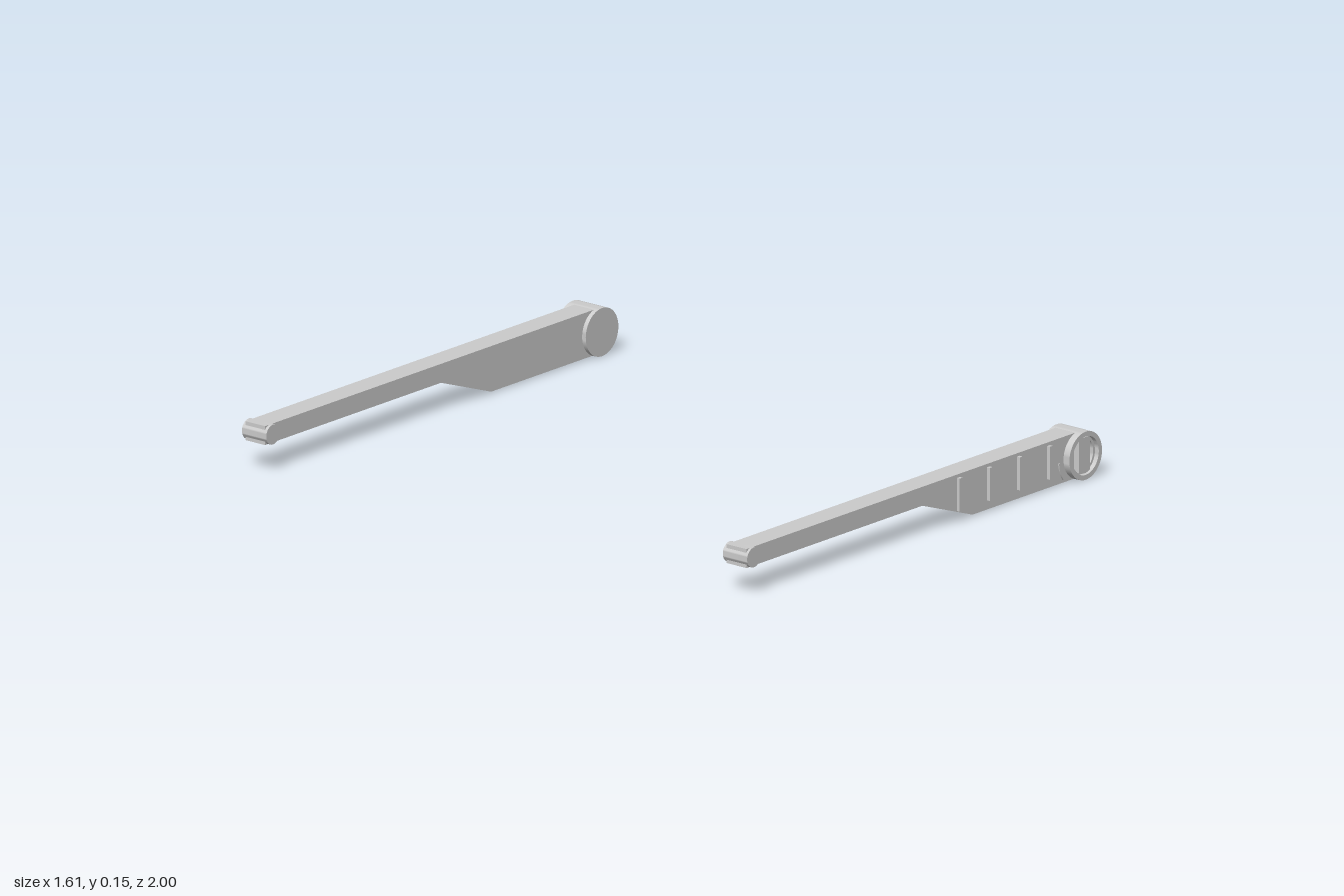
import * as THREE from 'three';
import { toCreasedNormals } from 'three/addons/utils/BufferGeometryUtils.js';

const material = new THREE.MeshStandardMaterial({ color: 0xcccccc });
const HUB = { x: 0.728, y: 0.077, r: 0.075 };

function addMesh(parent, name, geometry) {
  const mesh = new THREE.Mesh(geometry, material);
  mesh.name = name;
  parent.add(mesh);
  return mesh;
}

// Extrude a shape between two distances from the middle, on side s (+1 front, -1 back)
function addSlab(parent, name, shape, near, far, s) {
  const geometry = new THREE.ExtrudeGeometry(shape, { depth: far - near, bevelEnabled: false, curveSegments: 24 });
  const mesh = addMesh(parent, name, toCreasedNormals(geometry, 0.6));
  mesh.position.z = Math.min(s * near, s * far);
  return mesh;
}

// Turn a profile of [radius, distance] about an axis along z
function addTurned(parent, name, profile, x, y, s) {
  const points = profile.map(([r, d]) => new THREE.Vector2(r, d));
  const mesh = addMesh(parent, name, toCreasedNormals(new THREE.LatheGeometry(points, 48), 0.6));
  mesh.rotation.x = s * Math.PI / 2;
  mesh.position.set(x, y, 0);
  return mesh;
}

function bladeShape() {
  const corners = [[-0.803, 0.09], [0.005, 0.09], [0.235, 0.007], [0.715, 0.007], [0.715, 0.149], [-0.803, 0.149]];
  return new THREE.Shape(corners.map(([x, y]) => new THREE.Vector2(x, y)));
}

// Upright grip with rounded ends that follow the dial's rim
function gripShape() {
  const r = 0.056, a = Math.acos(0.026 / r);
  const shape = new THREE.Shape();
  shape.absarc(0, 0, r, a, Math.PI - a, false);
  shape.absarc(0, 0, r, Math.PI + a, 2 * Math.PI - a, false);
  shape.closePath();
  return shape;
}

// Short curved ridge beside the hub
function ridgeShape() {
  const shape = new THREE.Shape();
  const from = Math.PI * 1.02, to = Math.PI * 1.21;
  shape.absarc(0, 0, 0.1, from, to, false);
  shape.absarc(0, 0, 0.096, to, from, true);
  shape.closePath();
  return shape;
}

function createArm(name, s) {
  const arm = new THREE.Group();
  arm.name = name;

  // Long arm, deeper towards the hub
  addSlab(arm, 'armBody', bladeShape(), 0.9, 0.977, s);

  // Pivot barrel at the thin end
  addTurned(arm, 'endPivot',
    [[0, 0.89], [0.031, 0.89], [0.031, 0.985], [0, 0.985]], -0.778, 0.119, s);

  // Hub with a stepped recess on the outer side
  addTurned(arm, 'hub', [
    [0, 0.886], [HUB.r, 0.886], [HUB.r, 1], [0.06, 1], [0.06, 0.985],
    [0.052, 0.985], [0.052, 0.972], [0, 0.972],
  ], HUB.x, HUB.y, s);
  addSlab(arm, 'hubGrip', gripShape(), 0.97, 0.995, s).position.add(new THREE.Vector3(HUB.x, HUB.y, 0));
  addSlab(arm, 'hubRidge', ridgeShape(), 0.975, 0.981, s).position.add(new THREE.Vector3(HUB.x, HUB.y, 0));

  // Row of upright ribs on the outer side
  for (let i = 0; i < 4; i++) {
    const rib = addMesh(arm, 'rib', new THREE.BoxGeometry(0.013, 0.103, 0.014));
    rib.position.set(0.17 + i * 0.138, 0.087, s * 0.981);
  }
  return arm;
}

export function createModel() {
  const model = new THREE.Group();
  model.name = 'armPair';
  model.add(createArm('frontArm', 1), createArm('backArm', -1));
  return model;
}
